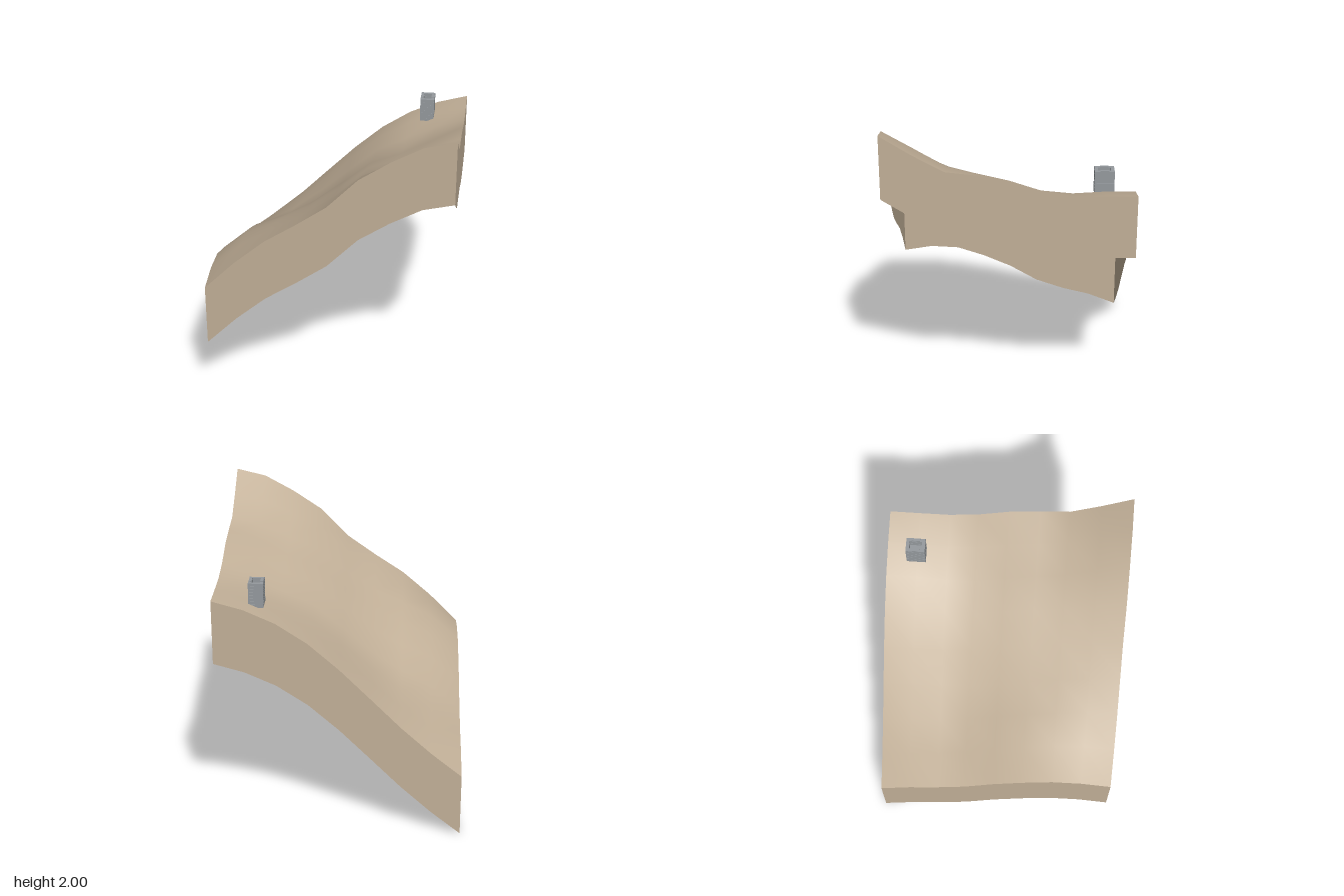
import * as THREE from 'three';

const HALF = 0.79, N = 8, DEPTH = 0.42;

// Edge height profiles of the terrain block, back/front from -x to +x, right/left from -z to +z
const backEdge = [0.42, 0.58, 0.76, 0.96, 1.158, 1.332, 1.462, 1.55, 1.605];
const frontEdge = [0.87, 1.07, 1.24, 1.37, 1.51, 1.713, 1.845, 1.953, 2.0];
const lowEdge = [0.42, 0.5, 0.55, 0.62, 0.737, 0.825, 0.892, 0.903, 0.87];
const highEdge = [1.605, 1.605, 1.608, 1.643, 1.71, 1.743, 1.765, 1.875, 2.0];
// How far the middle of each row along x sags below the blend of the edges
const sag = [0, -0.02, 0.045, 0.07, 0.06, 0.06, 0.09, 0.06, 0];

// Ground height blended between the four edges, with the sag taken off
function groundHeight(i, j) {
  const u = i / N, v = j / N, mix = THREE.MathUtils.lerp;
  return mix(lowEdge[j], highEdge[j], u) + mix(backEdge[i], frontEdge[i], v)
    - mix(mix(backEdge[0], backEdge[N], u), mix(frontEdge[0], frontEdge[N], u), v)
    - sag[i] * Math.abs(Math.sin(Math.PI * v)) ** (1 + u);
}

function buildGround() {
  const geo = new THREE.PlaneGeometry(2 * HALF, 2 * HALF, N, N).rotateX(-Math.PI / 2);
  const pos = geo.attributes.position;
  for (let k = 0; k < pos.count; k++) pos.setY(k, groundHeight(k % (N + 1), Math.floor(k / (N + 1))));
  geo.computeVertexNormals();
  return geo;
}

// Vertical skirt hanging from one edge; width runs along x or z
function buildSkirt(profile, alongX, offset, outward) {
  const geo = new THREE.PlaneGeometry(2 * HALF, 1, N, 1);
  const pos = geo.attributes.position;
  for (let k = 0; k < pos.count; k++) {
    const c = k % (N + 1);
    const along = -HALF + (2 * HALF * c) / N;
    const y = profile[c] - (k > N ? DEPTH : 0);
    if (alongX) pos.setXYZ(k, along, y, offset);
    else pos.setXYZ(k, offset, y, along);
  }
  // Keep every skirt facing outward
  if (!outward) {
    const idx = geo.index.array;
    for (let t = 0; t < idx.length; t += 3) [idx[t], idx[t + 1]] = [idx[t + 1], idx[t]];
  }
  geo.computeVertexNormals();
  return geo;
}

// Hollow rectangular ring, standing on y = 0
function buildRing(w, d, wall, h) {
  const rect = (Type, a, b) => {
    const s = new Type();
    s.moveTo(-a, -b);
    s.lineTo(a, -b);
    s.lineTo(a, b);
    s.lineTo(-a, b);
    s.closePath();
    return s;
  };
  const shape = rect(THREE.Shape, w / 2, d / 2);
  shape.holes.push(rect(THREE.Path, w / 2 - wall, d / 2 - wall));
  return new THREE.ExtrudeGeometry(shape, { depth: h, bevelEnabled: false }).rotateX(-Math.PI / 2);
}

export function createModel() {
  const model = new THREE.Group();
  const earth = new THREE.MeshStandardMaterial({ color: 0xc2b098, side: THREE.DoubleSide });
  earth.name = 'sandy earth';
  const stone = new THREE.MeshStandardMaterial({ color: 0x959a9e });
  stone.name = 'grey stone';

  const add = (parent, name, geo, mat, x = 0, y = 0, z = 0) => {
    const mesh = new THREE.Mesh(geo, mat);
    mesh.name = name;
    mesh.position.set(x, y, z);
    parent.add(mesh);
  };

  // Terrain block, open underneath
  const terrain = new THREE.Group();
  terrain.name = 'terrain';
  model.add(terrain);
  add(terrain, 'ground', buildGround(), earth);
  add(terrain, 'frontSkirt', buildSkirt(frontEdge, true, HALF, true), earth);
  add(terrain, 'backSkirt', buildSkirt(backEdge, true, -HALF, false), earth);
  add(terrain, 'leftSkirt', buildSkirt(highEdge, false, HALF, false), earth);
  add(terrain, 'rightSkirt', buildSkirt(lowEdge, false, -HALF, true), earth);

  // Small hollow stone tower of stacked courses
  const tower = new THREE.Group();
  tower.name = 'tower';
  tower.position.set(0.525, 1.515, -0.595);
  model.add(tower);
  const courses = 8, step = 0.02;
  for (let c = 0; c < courses; c++) {
    add(tower, 'stoneCourse', buildRing(0.095, 0.125, 0.022, step - 0.002), stone, 0, c * step + 0.002, 0);
  }
  add(tower, 'core', buildRing(0.093, 0.123, 0.02, courses * step - 0.004), stone);
  add(tower, 'floor', new THREE.BoxGeometry(0.07, 0.1, 0.1), stone, 0, 0.05, 0);
  // Low ledges on the side walls
  for (const s of [-1, 1]) {
    add(tower, 'ledge', new THREE.BoxGeometry(0.018, 0.006, 0.055), stone, s * 0.0365, courses * step + 0.002, 0);
  }
  return model;
}
